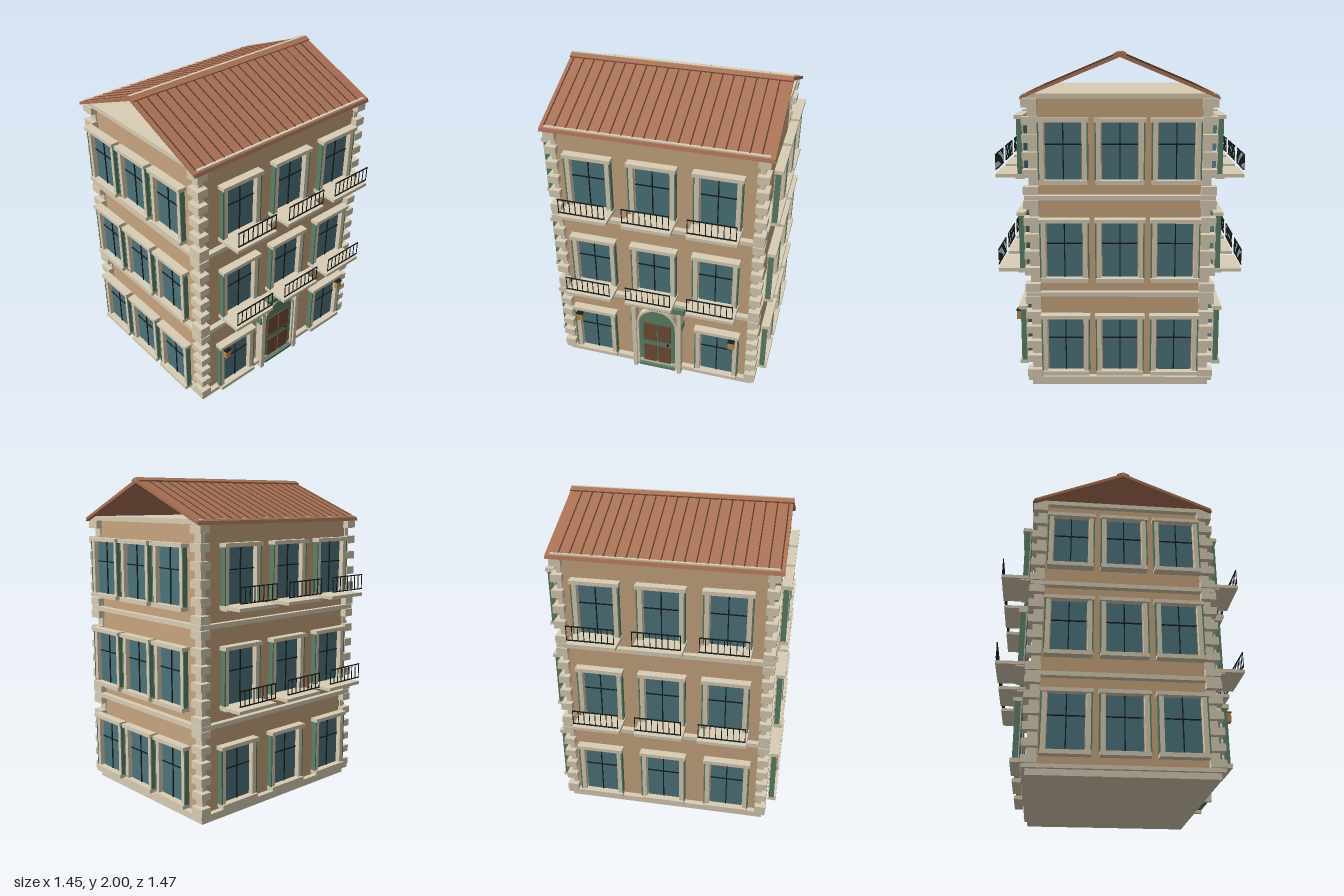
import * as THREE from 'three';

const mat = (color) => new THREE.MeshStandardMaterial({ color, flatShading: true });
const M = {
  wall: mat(0xc8a680), trim: mat(0xd9cdb4), glass: mat(0x4c747c), green: mat(0x5b8268),
  dark: mat(0x181c1c), roof: mat(0xac7356), rib: mat(0x5a3a2a), door: mat(0x6f4d35), lamp: mat(0xb8904c),
};
const W = 0.625, D = 0.52; // half width and half depth of the walls

function mesh(parent, name, geometry, material) {
  const m = new THREE.Mesh(geometry, material);
  m.name = name;
  parent.add(m);
  return m;
}

// Box given by its limits on each axis
function box(parent, name, material, x0, x1, y0, y1, z0, z1) {
  const m = mesh(parent, name, new THREE.BoxGeometry(x1 - x0, y1 - y0, z1 - z0), material);
  m.position.set((x0 + x1) / 2, (y0 + y1) / 2, (z0 + z1) / 2);
  return m;
}

// Window facing +z; y = 0 is the underside of the sill, z = 0 the wall
function makeWindow() {
  const g = new THREE.Group();
  g.name = 'window';
  box(g, 'pane', M.glass, -0.103, 0.103, 0.02, 0.355, 0.048, 0.058);
  box(g, 'lintel', M.trim, -0.147, 0.147, 0.355, 0.378, 0.047, 0.1);
  box(g, 'sill', M.trim, -0.14, 0.14, 0, 0.025, 0.047, 0.1);
  for (const s of [-1, 1]) {
    const jamb = box(g, 'jamb', M.trim, -0.014, 0.014, 0.02, 0.357, 0.05, 0.085);
    jamb.position.x = s * 0.122;
    const shutter = box(g, 'shutter', M.green, -0.004, 0.004, 0.025, 0.355, 0.055, 0.087);
    shutter.position.x = s * 0.139;
  }
  box(g, 'mullion', M.dark, -0.003, 0.003, 0.02, 0.355, 0.057, 0.064);
  box(g, 'transom', M.dark, -0.103, 0.103, 0.225, 0.231, 0.057, 0.064);
  return g;
}

// Slab with a railing along its outer edge
function makeBalcony() {
  const g = new THREE.Group();
  g.name = 'balcony';
  box(g, 'balconySlab', M.trim, -0.148, 0.148, 0.01, 0.03, 0.047, 0.217);
  for (const y of [0.053, 0.142]) box(g, 'rail', M.dark, -0.143, 0.143, y, y + 0.006, 0.211, 0.217);
  for (let i = 0; i <= 8; i++) {
    const x = -0.14 + i * 0.035;
    box(g, 'baluster', M.dark, x - 0.002, x + 0.002, 0.053, 0.145, 0.212, 0.216);
  }
  return g;
}

// One side of the house, built facing +z
function makeFacade(name, spacing, wallDistance, { balconies, entrance }) {
  const g = new THREE.Group();
  g.name = name;
  [0.095, 0.677, 1.257].forEach((y, floor) => {
    for (const i of [-1, 0, 1]) {
      if (entrance && floor === 0 && i === 0) continue;
      const x = i * (balconies && floor === 0 ? 0.41 : spacing);
      const parts = [makeWindow()];
      if (balconies && floor > 0) parts.push(makeBalcony());
      for (const p of parts) {
        p.position.set(x, y, wallDistance);
        g.add(p);
      }
    }
  });
  return g;
}

// Arched outline with straight legs
function arch(ShapeType, r, spring, base) {
  const s = new ShapeType();
  s.moveTo(-r, base);
  s.lineTo(r, base);
  s.lineTo(r, spring);
  s.absarc(0, spring, r, 0, Math.PI, false);
  s.lineTo(-r, base);
  return s;
}

function makeEntrance() {
  const g = new THREE.Group();
  g.name = 'entrance';
  const panel = mesh(g, 'archedDoorPanel', new THREE.ExtrudeGeometry(arch(THREE.Shape, 0.125, 0.385, 0.02),
    { depth: 0.03, bevelEnabled: false, curveSegments: 16 }), M.green);
  panel.position.z = D;
  const ringShape = arch(THREE.Shape, 0.138, 0.385, 0.02);
  ringShape.holes.push(arch(THREE.Path, 0.124, 0.385, 0.03));
  const ring = mesh(g, 'archTrim', new THREE.ExtrudeGeometry(ringShape,
    { depth: 0.045, bevelEnabled: false, curveSegments: 16 }), M.trim);
  ring.position.z = D;
  for (const s of [-1, 1]) {
    box(g, 'doorPost', M.trim, -0.014, 0.014, 0, 0.525, D, 0.577).position.x = s * 0.152;
    box(g, 'postBracket', M.green, -0.007, 0.007, 0.4, 0.45, D, 0.57).position.x = s * 0.17;
    const x = s * 0.049;
    box(g, 'upperDoorPanel', M.door, x - 0.044, x + 0.044, 0.245, 0.39, D, 0.558);
    box(g, 'lowerDoorPanel', M.door, x - 0.044, x + 0.044, 0.055, 0.2, D, 0.558);

    // Wall lantern beside the door
    const lamp = new THREE.Group();
    lamp.name = 'lantern';
    box(lamp, 'lanternBody', M.lamp, -0.02, 0.02, 0.378, 0.432, 0.61, 0.636);
    box(lamp, 'lanternCap', M.dark, -0.022, 0.022, 0.432, 0.438, 0.608, 0.638);
    box(lamp, 'lanternArm', M.dark, -0.004, 0.004, 0.4, 0.408, D, 0.612);
    lamp.position.x = s * 0.51;
    g.add(lamp);
  }
  const knob = mesh(g, 'doorKnob', new THREE.SphereGeometry(0.009, 10, 8), M.dark);
  knob.position.set(0.072, 0.225, 0.558);
  box(g, 'threshold', M.green, -0.125, 0.125, 0.015, 0.035, D, 0.572);
  box(g, 'doorHeader', M.green, -0.185, 0.185, 0.525, 0.562, D, 0.57);
  box(g, 'doorHeaderCap', M.green, -0.188, 0.188, 0.562, 0.574, D, 0.58);
  return g;
}

function makeRoof() {
  const g = new THREE.Group();
  g.name = 'roof';
  // Thin open-ended gable roof, swept along x
  const s = new THREE.Shape();
  [[0, 1.99], [-0.558, 1.756], [-0.565, 1.735], [0, 1.968], [0.565, 1.735], [0.558, 1.756]]
    .forEach(([z, y], i) => (i ? s.lineTo(z, y) : s.moveTo(z, y)));
  const slab = mesh(g, 'roofSlopes', new THREE.ExtrudeGeometry(s, { depth: 1.37, bevelEnabled: false }), M.roof);
  slab.rotation.y = Math.PI / 2;
  slab.position.x = -0.685;
  const slope = Math.atan2(0.234, 0.558);
  for (const side of [-1, 1]) {
    for (let i = 0; i < 20; i++) {
      const rib = mesh(g, 'roofSeam', new THREE.BoxGeometry(0.007, 0.006, 0.56), M.rib);
      rib.position.set(-0.66 + i * 0.0668, 1.873 - 0.001, side * 0.279);
      rib.rotation.x = side * slope;
    }
    const cap = mesh(g, 'ridgeCap', new THREE.BoxGeometry(1.372, 0.012, 0.04), M.roof);
    cap.position.set(0, 1.986, side * 0.02);
    cap.rotation.x = side * slope;
  }
  box(g, 'ridgeBar', M.trim, -0.685, 0.685, 1.98, 2, -0.008, 0.008);
  return g;
}

export function createModel() {
  const model = new THREE.Group();
  model.name = 'townhouse';
  box(model, 'walls', M.wall, -W, W, 0.01, 1.75, -D, D);

  // Plinth, floor bands and cornice: half width, half depth, bottom, top
  for (const [name, x, z, y0, y1] of [
    ['plinth', 0.64, 0.533, 0, 0.036], ['plinthCap', 0.662, 0.555, 0.036, 0.058],
    ['floorBand', 0.662, 0.555, 0.57, 0.597], ['floorBand', 0.662, 0.555, 1.155, 1.182],
    ['cornice', 0.657, 0.553, 1.738, 1.766],
  ]) box(model, name, M.trim, -x, x, y0, y1, -z, z);

  // Corner stones, alternating large and small
  for (const sx of [-1, 1]) for (const sz of [-1, 1]) for (const base of [0.06, 0.6, 1.185]) {
    const top = base === 0.06 ? 0.57 : base + 0.553;
    const n = 11, h = (top - base) / n;
    for (let i = 0; i < n; i++) {
      const big = i % 2 === 0;
      const stone = mesh(model, 'cornerStone',
        new THREE.BoxGeometry(big ? 0.07 : 0.03, h * 0.96, big ? 0.09 : 0.055), M.trim);
      stone.position.set(sx * (big ? 0.63 : 0.62), base + (i + 0.5) * h, sz * (big ? 0.515 : 0.502));
    }
  }

  const sides = [
    makeFacade('frontFacade', 0.387, D, { balconies: true, entrance: true }),
    makeFacade('leftFacade', 0.322, W, {}),
    makeFacade('backFacade', 0.387, D, { balconies: true }),
    makeFacade('rightFacade', 0.322, W, {}),
  ];
  sides.forEach((side, i) => {
    side.rotation.y = i * Math.PI / 2;
    model.add(side);
  });
  model.add(makeEntrance(), makeRoof());
  return model;
}
